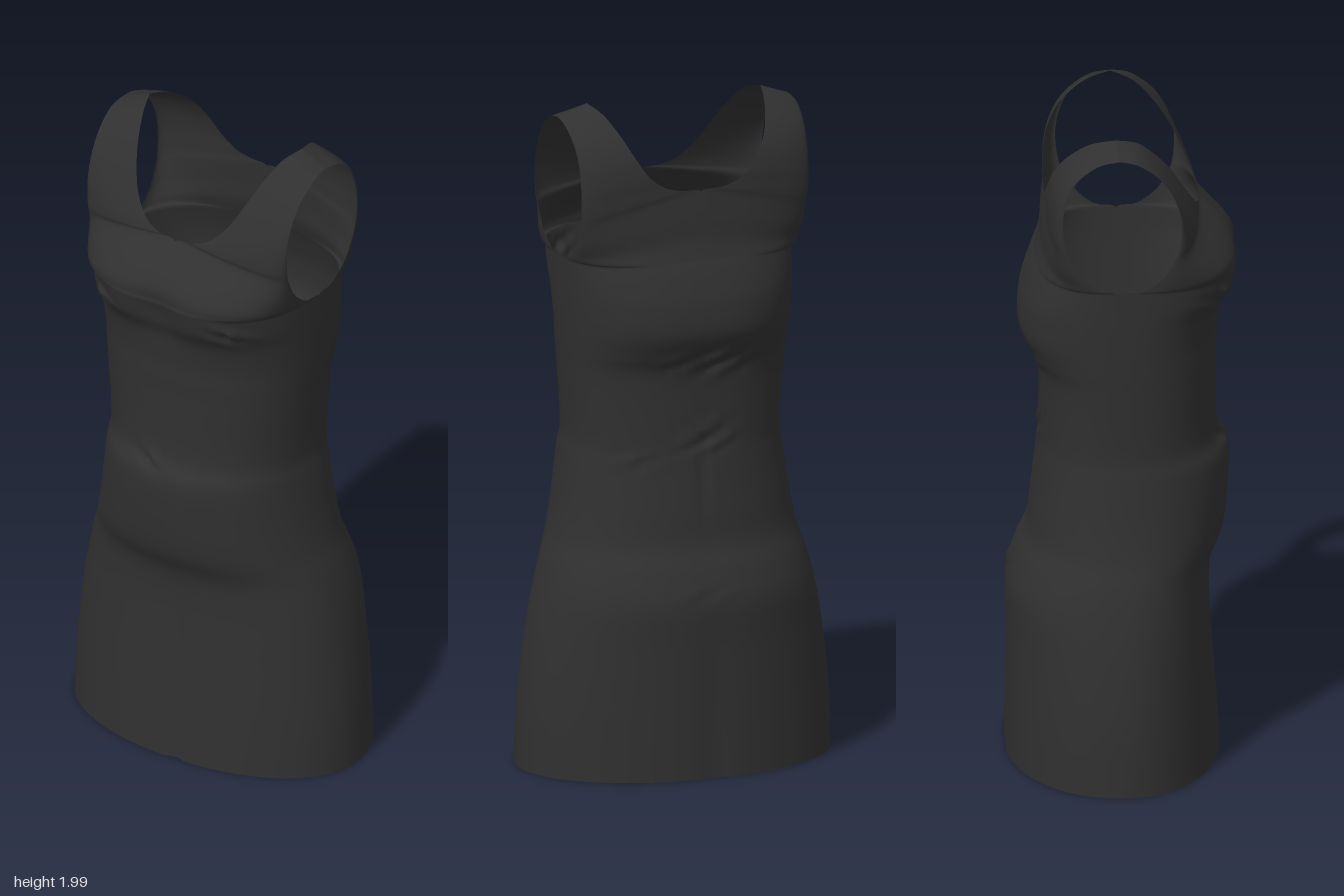
import * as THREE from 'three';
import { mergeGeometries, mergeVertices } from 'three/addons/utils/BufferGeometryUtils.js';

// Body rings, hem to underarm: y, half width, front z, back z, roundness
const BODY = [
  [0.01, 0.482, 0.292, 0.34, 2.1],
  [0.2, 0.475, 0.28, 0.338, 2.1],
  [0.4, 0.45, 0.266, 0.336, 2.15],
  [0.53, 0.424, 0.26, 0.336, 2.2],
  [0.62, 0.4, 0.268, 0.31, 2.2],
  [0.7, 0.373, 0.3, 0.275, 2.2],
  [0.8, 0.352, 0.314, 0.262, 2.2],
  [0.94, 0.332, 0.318, 0.245, 2.2],
  [1.02, 0.323, 0.284, 0.238, 2.3],
  [1.2, 0.333, 0.28, 0.24, 2.4],
  [1.27, 0.338, 0.282, 0.268, 2.4],
  [1.34, 0.342, 0.284, 0.298, 2.4],
  [1.42, 0.346, 0.298, 0.296, 2.5],
  [1.48, 0.348, 0.33, 0.28, 2.6],
  [1.54, 0.35, 0.345, 0.258, 2.6],
];
// Upper panels: neck y, neck x, neck z, armhole y, armhole x, armhole z, roundness
const TOP = [2.0, 0.275, -0.02, 1.967, 0.365, -0.01, 2];
const FRONT = [
  [1.56, 0, 0.343, 1.55, 0.351, 0.055, 2.6],
  [1.6, 0, 0.334, 1.57, 0.352, 0.09, 2.6],
  [1.65, 0, 0.297, 1.605, 0.354, 0.127, 2.5],
  [1.712, 0, 0.235, 1.66, 0.356, 0.157, 2.3],
  [1.722, 0.06, 0.228, 1.69, 0.358, 0.166, 2.2],
  [1.745, 0.115, 0.216, 1.73, 0.36, 0.17, 2],
  [1.8, 0.165, 0.188, 1.785, 0.361, 0.168, 2],
  [1.87, 0.2, 0.148, 1.85, 0.362, 0.148, 2],
  [1.93, 0.226, 0.102, 1.91, 0.365, 0.107, 2],
  [1.98, 0.25, 0.045, 1.955, 0.368, 0.045, 2],
  TOP,
];
const BACK = [
  [1.56, 0, 0.25, 1.55, 0.351, 0.055, 2.6],
  [1.62, 0, 0.236, 1.57, 0.352, 0.09, 2.6],
  [1.69, 0, 0.231, 1.61, 0.354, 0.13, 2.6],
  [1.755, 0, 0.224, 1.67, 0.356, 0.162, 2.5],
  [1.762, 0.06, 0.224, 1.7, 0.358, 0.17, 2.4],
  [1.775, 0.11, 0.222, 1.74, 0.36, 0.176, 2.2],
  [1.81, 0.16, 0.219, 1.79, 0.361, 0.176, 2],
  [1.87, 0.2, 0.202, 1.85, 0.362, 0.163, 2],
  [1.93, 0.23, 0.162, 1.91, 0.365, 0.13, 2],
  [1.98, 0.255, 0.093, 1.955, 0.368, 0.07, 2],
  TOP.map((v, i) => (i === 2 || i === 5 ? -v : v)),
];

// Gathered pinches in the cloth: side (1 front, -1 back), x, y, spread x, spread y, depth
const PINCHES = [
  [1, 0.23, 1.49, 0.05, 0.03, 0.012],
  [1, -0.23, 1.49, 0.05, 0.03, 0.012],
  [1, -0.04, 0.99, 0.06, 0.025, 0.009],
  [-1, -0.02, 1.24, 0.12, 0.04, 0.007],
  [-1, 0, 1.02, 0.08, 0.04, 0.009],
  [-1, 0.2, 0.95, 0.07, 0.025, 0.006],
  [-1, 0.05, 0.56, 0.08, 0.02, 0.005],
];
const bell = (d, width) => Math.exp(-((d / width) ** 2));

// Outward push of the cloth at a point of the front or back
function relief(side, x, y) {
  let d = 0;
  if (side > 0) {
    d -= 0.022 * bell(x, 0.08) * bell(y - 1.51, 0.08); // hollow between the bust
    d -= 0.014 * bell(x - 0.04, 0.02) * THREE.MathUtils.smoothstep(0.65 - y, 0, 0.5); // skirt fold
  } else {
    d -= 0.008 * bell(x, 0.05) * bell(y - 0.1, 0.4); // soft back fold
    d -= 0.01 * bell(x, 0.012) * bell(y - 0.9, 0.12); // back seam
  }
  for (const [s, px, py, sx, sy, depth] of PINCHES) {
    if (s !== side) continue;
    const wave = Math.sin(95 * (y - py) + 45 * (x - px)) + 0.5 * Math.sin(130 * (x - px));
    d += depth * wave * bell(x - px, sx) * bell(y - py, sy);
  }
  return d;
}

// Smooth interpolation through table rows by row number
function sampleRows(rows, t) {
  const i = Math.min(Math.floor(t), rows.length - 2), u = t - i;
  const row = (k) => rows[THREE.MathUtils.clamp(k, 0, rows.length - 1)];
  const [a, b, c, d] = [row(i - 1), row(i), row(i + 1), row(i + 2)];
  return b.map((p, k) => {
    const m0 = (c[k] - a[k]) / 2, m1 = (d[k] - p) / 2, e = c[k] - p;
    return p + u * (m0 + u * (3 * e - 2 * m0 - m1 + u * (m0 + m1 - 2 * e)));
  });
}

// A quarter of the dress, from centre line to side, hem to shoulder
function quarter(sx, sz) {
  const rows = BODY.map(([y, w, f, b, p]) => [y, 0, sz > 0 ? f : b, y, w, 0, p])
    .concat(sz > 0 ? FRONT : BACK);
  const steps = 7, cols = 36, n = (rows.length - 1) * steps;
  const positions = [], index = [];
  for (let i = 0; i <= n; i++) {
    const t = i / steps;
    let [yi, xi, zi, yo, xo, zo, p] = sampleRows(rows, t);
    xi = Math.max(0, xi);
    if (t <= BODY.length - 1) {
      // closed rings: both halves meet at the side seam
      zo = 0;
      [yi, xo] = sampleRows(BODY, t);
      yo = yi;
    }
    for (let j = 0; j <= cols; j++) {
      const a = (j / cols) * Math.PI / 2;
      const s = Math.sin(a) ** (2 / p);
      const c = j === cols ? 0 : Math.cos(a) ** (2 / p);
      const x = sx * (xi + (xo - xi) * s), y = yi + (yo - yi) * s;
      const z = zo + (zi - zo) * c + c * relief(sz, x, y);
      positions.push(x, y, sz * z);
    }
  }
  const flip = sx * sz < 0, w = cols + 1;
  for (let i = 0; i < n; i++) {
    for (let j = 0; j < cols; j++) {
      const a = i * w + j, b = a + 1, c = b + w, d = a + w;
      if (flip) index.push(a, c, b, a, d, c);
      else index.push(a, b, c, a, c, d);
    }
  }
  const g = new THREE.BufferGeometry();
  g.setAttribute('position', new THREE.Float32BufferAttribute(positions, 3));
  g.setIndex(index);
  return g;
}

export function createModel() {
  const model = new THREE.Group();
  model.name = 'sleevelessDress';
  const cloth = new THREE.MeshStandardMaterial({ color: 0x303030, side: THREE.DoubleSide });
  cloth.name = 'charcoalCloth';

  // Four quarters welded along the centre lines, sides and shoulders
  const quarters = [[1, 1], [-1, 1], [1, -1], [-1, -1]].map(([sx, sz]) => quarter(sx, sz));
  const geometry = mergeVertices(mergeGeometries(quarters), 1e-4);
  geometry.computeVertexNormals();
  const dress = new THREE.Mesh(geometry, cloth);
  dress.name = 'dress';
  model.add(dress);
  return model;
}
